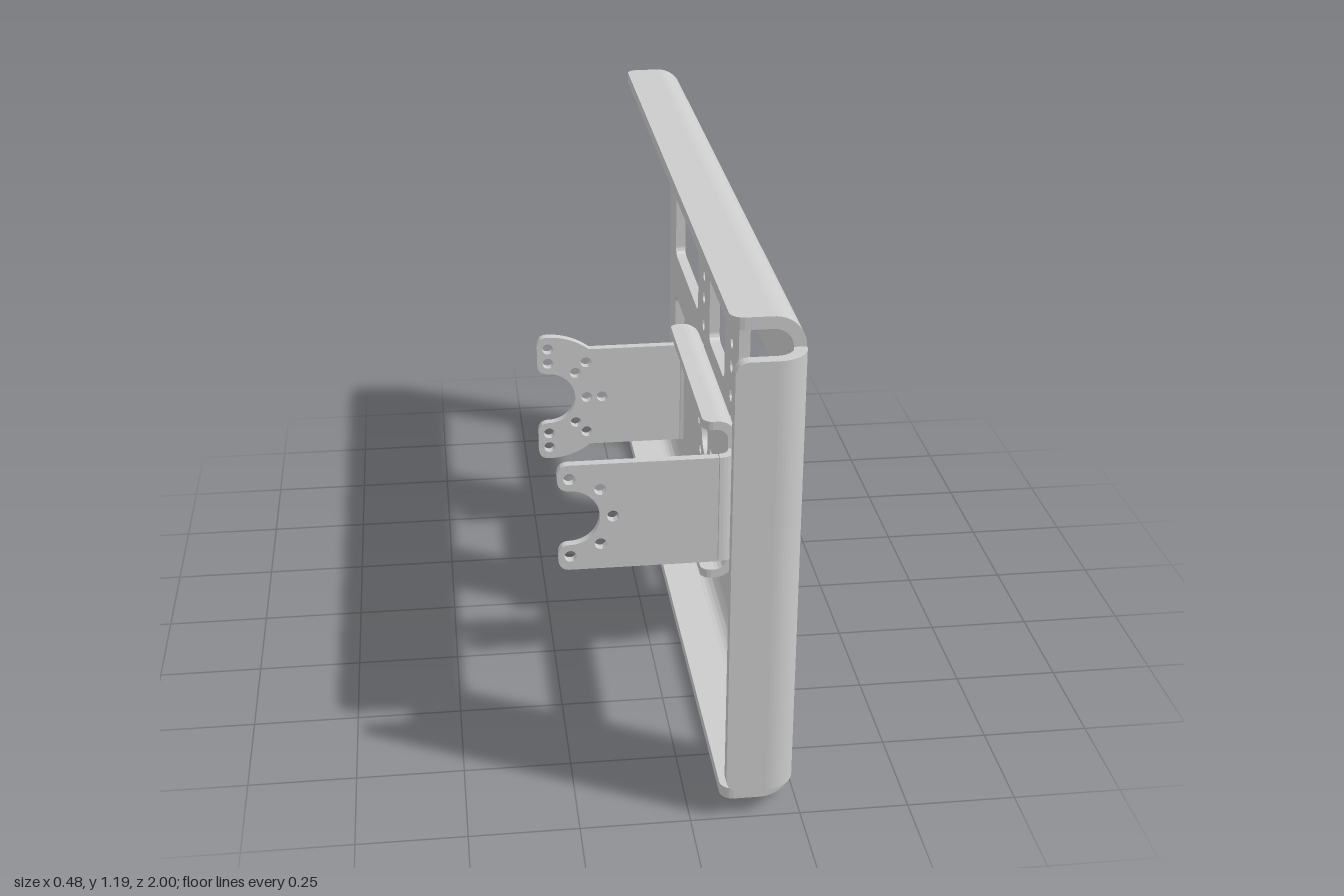
import * as THREE from 'three';
import { toCreasedNormals } from 'three/addons/utils/BufferGeometryUtils.js';

const material = new THREE.MeshStandardMaterial({ color: 0xcccccc });

function extrude(shape, depth) {
  const geo = new THREE.ExtrudeGeometry(shape, { depth, bevelEnabled: false, curveSegments: 12 });
  return toCreasedNormals(geo, 0.6);
}

function addMesh(parent, name, geo) {
  const mesh = new THREE.Mesh(geo, material);
  mesh.name = name;
  parent.add(mesh);
  return mesh;
}

// Rectangle with its own radius for the lower and upper corners
function rect(x0, x1, y0, y1, rLow, rHigh = rLow, Kind = THREE.Shape) {
  const s = new Kind();
  s.moveTo(x0 + rLow, y0);
  s.lineTo(x1 - rLow, y0);
  if (rLow) s.absarc(x1 - rLow, y0 + rLow, rLow, -Math.PI / 2, 0, false);
  s.lineTo(x1, y1 - rHigh);
  if (rHigh) s.absarc(x1 - rHigh, y1 - rHigh, rHigh, 0, Math.PI / 2, false);
  s.lineTo(x0 + rHigh, y1);
  if (rHigh) s.absarc(x0 + rHigh, y1 - rHigh, rHigh, Math.PI / 2, Math.PI, false);
  s.lineTo(x0, y0 + rLow);
  if (rLow) s.absarc(x0 + rLow, y0 + rLow, rLow, Math.PI, Math.PI * 1.5, false);
  s.closePath();
  return s;
}

function hole(shape, x, y, r) {
  shape.holes.push(new THREE.Path().absarc(x, y, r, 0, Math.PI * 2, true));
}

// Sheet in the y-z plane: shapes are drawn with (-z, y), outer face at x = face
function addSheet(parent, name, shape, face, t) {
  const mesh = addMesh(parent, name, extrude(shape, t));
  mesh.rotation.y = Math.PI / 2;
  mesh.position.x = face - t;
}

// Quarter-round bend followed by a flat lip, folded backwards (-x) from a sheet edge
function addFold(parent, name, { x, y, z, turn, length, r, t, depth, corner = 0 }) {
  const fold = new THREE.Group();
  fold.name = name;
  const ring = new THREE.Shape();
  ring.absarc(0, 0, r, 0, Math.PI / 2, false);
  ring.absarc(0, 0, r - t, Math.PI / 2, 0, true);
  ring.closePath();
  const bend = addMesh(fold, name + 'Bend', extrude(ring, length));
  bend.rotation.y = -Math.PI / 2;
  bend.position.set(length / 2, 0, -r);
  if (depth > r) {
    const lip = addMesh(fold, name + 'Lip',
      extrude(rect(-length / 2, length / 2, 0, depth - r, 0, corner), t));
    lip.rotation.x = -Math.PI / 2;
    lip.position.set(0, r - t, -r);
  }
  fold.rotation.set(0, Math.PI / 2, turn);
  fold.position.set(x, y, z);
  parent.add(fold);
}

// Bracket arm with a round notch between two prongs, drawn around the notch centre
function armShape(flared) {
  const s = new THREE.Shape();
  const h = 0.145, R = 0.185, H = flared ? R : h, n = 0.075, c = 0.03;
  const a = Math.asin(h / R);
  s.moveTo(0.37, -h);
  s.lineTo(0.37, h);
  if (flared) s.absarc(0, 0, R, a, Math.PI / 2, false);
  s.lineTo(0, H);
  s.quadraticCurveTo(-c, H, -c, H - c);
  s.lineTo(-c, n + c);
  s.quadraticCurveTo(-c, n, 0, n);
  s.absarc(0, 0, n, Math.PI / 2, -Math.PI / 2, true);
  s.quadraticCurveTo(-c, -n, -c, -n - c);
  s.lineTo(-c, -H + c);
  s.quadraticCurveTo(-c, -H, 0, -H);
  if (flared) s.absarc(0, 0, R, -Math.PI / 2, -a, false);
  s.closePath();
  for (const ring of flared ? [0.107, 0.15] : [0.107]) {
    for (let i = -2; i <= 2; i++) {
      const q = i * Math.PI / 4;
      hole(s, ring * Math.cos(q), ring * Math.sin(q), 0.015);
    }
  }
  return s;
}

export function createModel() {
  const model = new THREE.Group();
  model.name = 'mountingPanel';

  // Main panel with windows and screw holes
  const panel = rect(-0.93, 1, 0.07, 1.12, 0);
  for (const [z0, z1] of [[0.27, 0.8], [-0.2, 0.06], [-0.87, -0.41]]) {
    for (const [y0, y1] of [[0.205, 0.53], [0.66, 0.985]]) {
      panel.holes.push(rect(-z1, -z0, y0, y1, 0.025, 0.025, THREE.Path));
    }
  }
  for (const z of [0.885, -0.945]) for (const y of [0.123, 1.072]) hole(panel, -z, y, 0.021);
  for (const z of [0.163, -0.305]) {
    for (const y of [0.32, 0.385, 0.455, 0.53, 0.6, 0.665, 0.745, 0.81, 0.877]) hole(panel, -z, y, 0.018);
  }
  addSheet(model, 'panel', panel, 0.24, 0.028);

  // Folded edges of the panel
  const edge = { x: 0.24, r: 0.07, t: 0.028, depth: 0.16, corner: 0.03 };
  addFold(model, 'topFlange', { ...edge, y: 1.12, z: -0.035, turn: 0, length: 1.93 });
  addFold(model, 'bottomFlange', { ...edge, y: 0.07, z: -0.035, turn: Math.PI, length: 1.93 });
  addFold(model, 'sideFlange', { ...edge, y: 0.595, z: 0.93, turn: Math.PI / 2, length: 1.05 });

  // Bracket base with a central bore and a ring of holes
  const bracket = new THREE.Group();
  bracket.name = 'bracket';
  model.add(bracket);
  const yc = 0.425, face = 0.212, t = 0.023;
  const base = rect(-0.275, 0.36, 0.255, 0.595, 0);
  hole(base, 0.105, yc, 0.055);
  for (let i = 0; i < 8; i++) {
    const q = i * Math.PI / 4;
    hole(base, 0.105 + 0.107 * Math.cos(q), yc + 0.107 * Math.sin(q), 0.015);
  }
  addSheet(bracket, 'bracketBase', base, face, t);

  // Stiffening lips above and below the base
  const lip = { x: face, z: -0.0425, length: 0.635, r: 0.05, t, depth: 0.085, corner: 0.025 };
  addFold(bracket, 'upperLip', { ...lip, y: 0.595, turn: 0 });
  addFold(bracket, 'lowerLip', { ...lip, y: 0.255, turn: Math.PI });

  // Bends leading into the two arms, then the arms themselves
  const bend = { x: face, y: yc, length: 0.29, r: 0.05, t, depth: 0.05 };
  addFold(bracket, 'frontArm', { ...bend, z: 0.275, turn: Math.PI / 2 });
  addFold(bracket, 'rearArm', { ...bend, z: -0.36, turn: -Math.PI / 2 });
  addMesh(bracket, 'frontArmPlate', extrude(armShape(false), t)).position.set(-0.21, yc, 0.325 - t);
  addMesh(bracket, 'rearArmPlate', extrude(armShape(true), t)).position.set(-0.21, yc, -0.41);

  return model;
}
